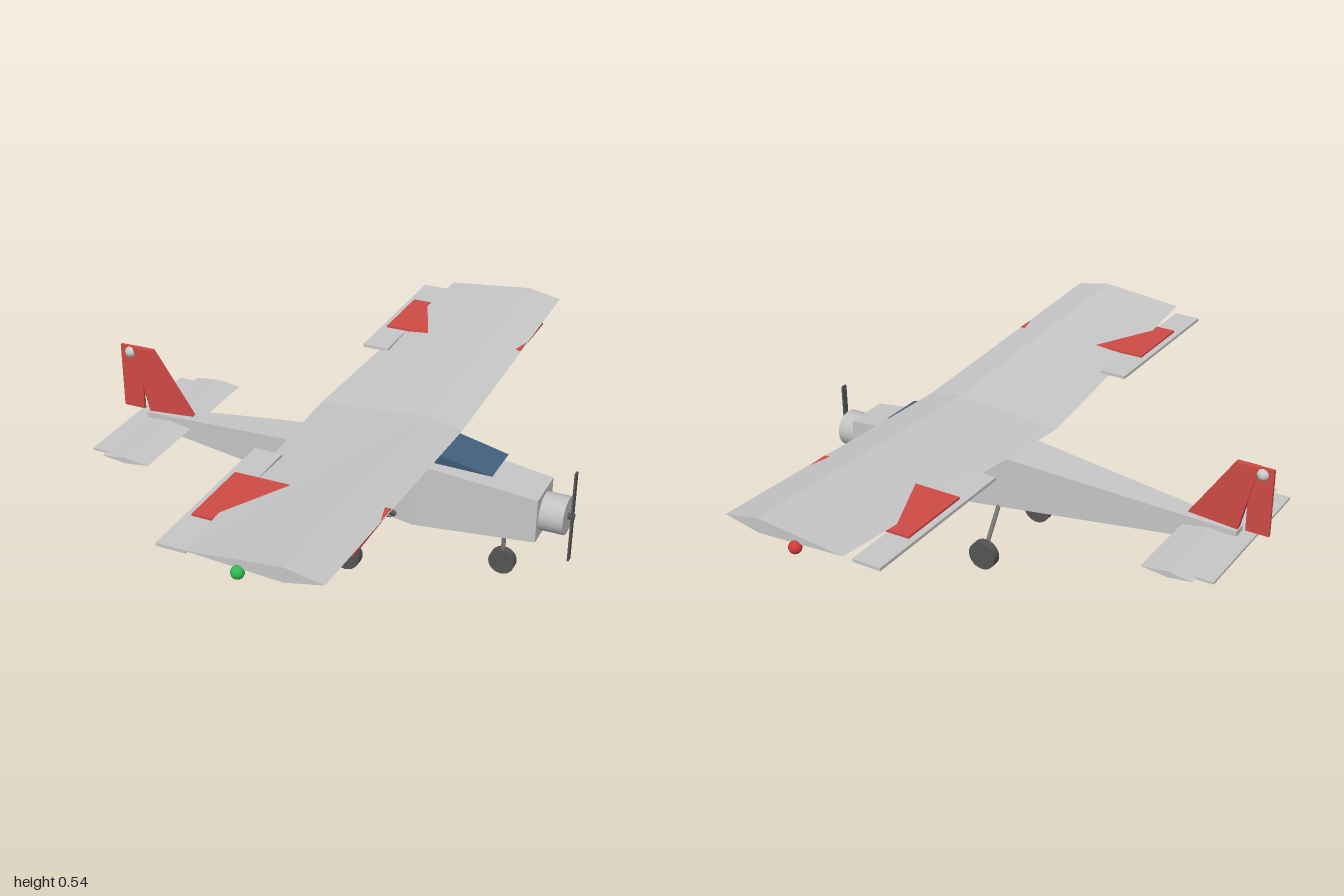
import * as THREE from 'three';

const mat = (name, color, flat = true) => {
  const m = new THREE.MeshStandardMaterial({ color, flatShading: flat });
  m.name = name;
  return m;
};

export function createModel() {
  const model = new THREE.Group();
  model.name = 'highWingPlane';
  const grey = mat('light grey', 0xc6c7c6);
  const red = mat('red', 0xd04a46);
  const blue = mat('window blue', 0x43607f);
  const steel = mat('strut grey', 0x777777, false);
  const dark = mat('tyre grey', 0x555555, false);
  const white = mat('lamp white', 0xc9c9c9, false);
  const lampRed = mat('lamp red', 0xd03a38, false);
  const lampGreen = mat('lamp green', 0x2fb850, false);
  const cowlGrey = mat('cowl grey', 0xc0c1c0, false);

  const add = (name, geo, material, x = 0, y = 0, z = 0) => {
    const mesh = new THREE.Mesh(geo, material);
    mesh.name = name;
    mesh.position.set(x, y, z);
    model.add(mesh);
    return mesh;
  };

  // Closed flat-faced skin through rings of points, capped at both ends
  const loft = (rings) => {
    const p = [];
    const tri = (a, b, c) => p.push(...a, ...b, ...c);
    const n = rings[0].length;
    for (let i = 0; i < rings.length - 1; i++) {
      for (let j = 0; j < n; j++) {
        const k = (j + 1) % n, r = rings[i], s = rings[i + 1];
        tri(r[j], r[k], s[k]);
        tri(r[j], s[k], s[j]);
      }
    }
    const first = rings[0], last = rings[rings.length - 1];
    for (let j = 1; j < n - 1; j++) {
      tri(first[0], first[j + 1], first[j]);
      tri(last[0], last[j], last[j + 1]);
    }
    const g = new THREE.BufferGeometry();
    g.setAttribute('position', new THREE.Float32BufferAttribute(p, 3));
    g.computeVertexNormals();
    return g;
  };

  // Box given by its limits
  const slab = (name, material, x0, x1, y0, y1, z0, z1) =>
    add(name, new THREE.BoxGeometry(x1 - x0, y1 - y0, z1 - z0), material,
      (x0 + x1) / 2, (y0 + y1) / 2, (z0 + z1) / 2);

  // Round rod between two points
  const rod = (name, a, b, r) => {
    const from = new THREE.Vector3(...a), dir = new THREE.Vector3(...b).sub(from);
    const mesh = add(name, new THREE.CylinderGeometry(r, r, dir.length(), 12), steel);
    mesh.position.copy(from).addScaledVector(dir, 0.5);
    mesh.quaternion.setFromUnitVectors(new THREE.Vector3(0, 1, 0), dir.normalize());
  };

  // Fuselage: x, bottom, top, half width
  add('fuselage', loft([
    [-0.685, 0.262, 0.306, 0.022],
    [0.30, 0.165, 0.38, 0.098],
    [0.685, 0.19, 0.335, 0.076],
  ].map(([x, lo, hi, w]) => [[x, lo, -w], [x, hi, -w], [x, hi, w], [x, lo, w]])), grey);

  // Engine cowl and propeller
  add('cowl', new THREE.CylinderGeometry(0.06, 0.06, 0.08, 24), cowlGrey, 0.72, 0.261, 0).rotation.z = -Math.PI / 2;
  add('propellerHub', new THREE.CylinderGeometry(0.01, 0.01, 0.022, 12), dark, 0.768, 0.261, 0).rotation.z = -Math.PI / 2;
  slab('propeller', dark, 0.77, 0.776, 0.108, 0.412, -0.01, 0.01);

  // Cabin window wedge
  const pane = (s) => [[0.05, 0.39, s * 0.075], [0.54, 0.382, s * 0.075], [0.24, 0.446, s * 0.084]];
  add('canopy', loft([pane(-1), pane(1)]), blue);

  // Wing with dihedral: z, trailing edge x, lift
  add('wing', loft([[-0.977, 0.015, 0.046], [0, -0.055, 0], [0.977, 0.015, 0.046]].map(([z, te, up]) => [
    [te, 0.467 + up, z], [0.30, 0.449 + up, z], [0.414, 0.473 + up, z], [0.30, 0.495 + up, z],
  ])), grey);

  // Tailplane with a tapered section, and elevator
  const tailRib = (z) => [[-0.68, 0.287, z], [-0.6, 0.277, z], [-0.514, 0.287, z], [-0.6, 0.297, z]];
  add('tailplane', loft([tailRib(-0.305), tailRib(0.305)]), grey);
  slab('elevator', grey, -0.732, -0.64, 0.281, 0.289, -0.278, 0.278);

  // Fin and rudder
  const finShape = new THREE.Shape([
    [-0.515, 0.313], [-0.66, 0.528], [-0.733, 0.528], [-0.68, 0.3], [-0.55, 0.3],
  ].map(([x, y]) => new THREE.Vector2(x, y)));
  add('fin', new THREE.ExtrudeGeometry(finShape, { depth: 0.018, bevelEnabled: false }), red, 0, 0, -0.009);
  slab('rudder', red, -0.78, -0.705, 0.308, 0.529, -0.005, 0.005);

  // Paired parts on both sides
  for (const [side, s] of [['left', 1], ['right', -1]]) {
    const span = (a, b) => (s > 0 ? [a, b] : [-b, -a]);
    slab(side + 'Aileron', grey, -0.085, 0.005, 0.486, 0.496, ...span(0.393, 0.952));
    slab(side + 'WingBand', red, -0.065, 0.411, 0.4955, 0.5028, ...span(0.55, 0.797));
    rod(side + 'WingStrut', [0.175, 0.456, s * 0.425], [0.235, 0.188, s * 0.095], 0.01);
    rod(side + 'GearLeg', [0.11, 0.19, s * 0.075], [0.11, 0.05, s * 0.17], 0.007);
    add(side + 'Wheel', new THREE.CylinderGeometry(0.048, 0.048, 0.03, 24), dark, 0.11, 0.05, s * 0.17).rotation.x = Math.PI / 2;
    add(side + 'TipLight', new THREE.SphereGeometry(0.019, 16, 12), s > 0 ? lampGreen : lampRed, 0.172, 0.493, s * 0.981);
  }

  // Nose gear
  rod('noseLeg', [0.565, 0.2, 0], [0.565, 0.05, 0], 0.007);
  add('noseWheel', new THREE.CylinderGeometry(0.042, 0.042, 0.028, 24), dark, 0.565, 0.05, 0).rotation.x = Math.PI / 2;

  // Beacon and tail light
  add('beacon', new THREE.SphereGeometry(0.02, 16, 12), lampRed, 0.05, 0.42, 0);
  add('tailLight', new THREE.SphereGeometry(0.02, 16, 12), white, -0.745, 0.507, 0);

  return model;
}
